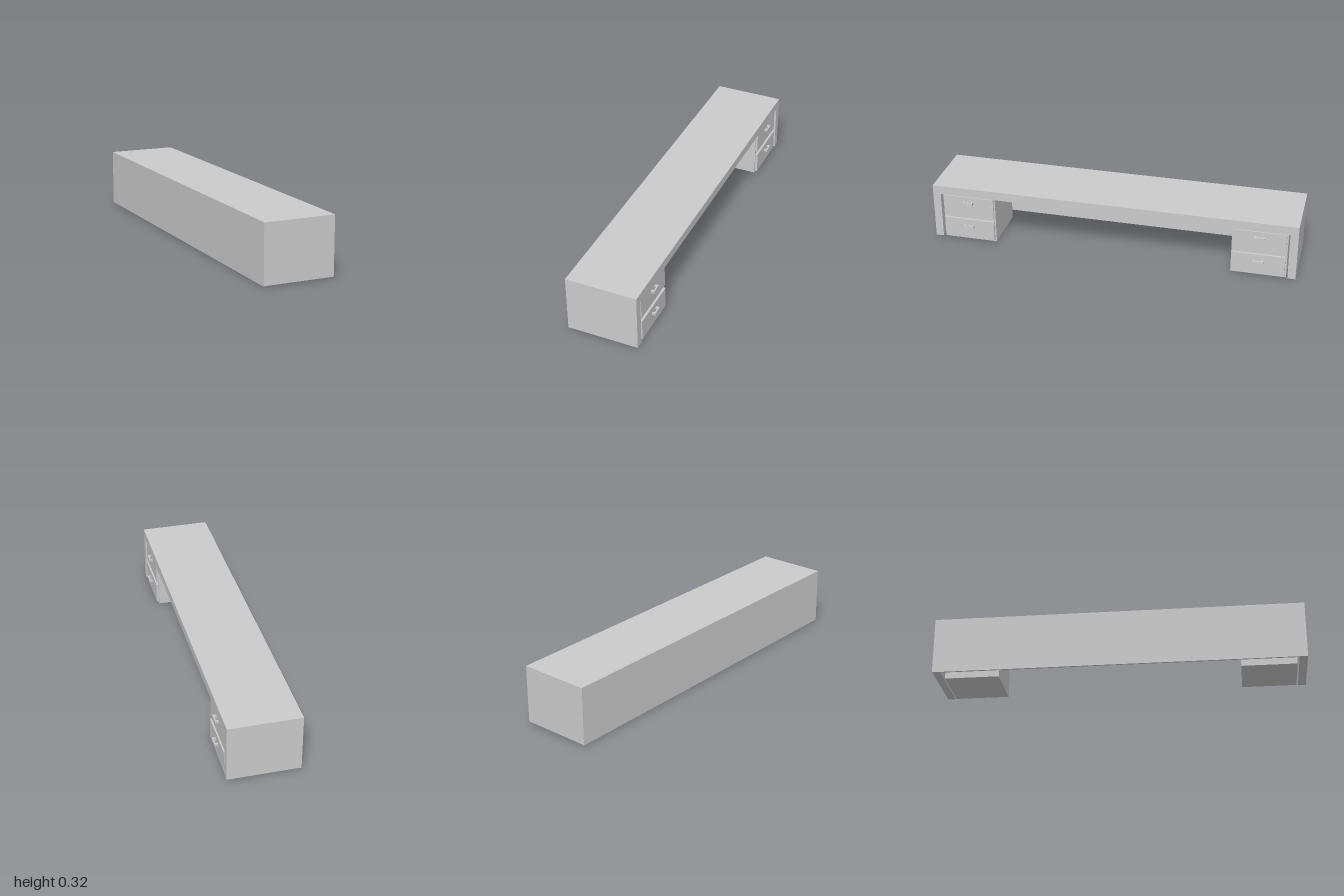
import * as THREE from 'three';

const grey = new THREE.MeshStandardMaterial({ color: 0xcccccc });

// Box given by its min and max along each axis
function box(parent, name, [x0, x1], [y0, y1], [z0, z1]) {
  const mesh = new THREE.Mesh(new THREE.BoxGeometry(x1 - x0, y1 - y0, z1 - z0), grey);
  mesh.position.set((x0 + x1) / 2, (y0 + y1) / 2, (z0 + z1) / 2);
  mesh.name = name;
  parent.add(mesh);
}

// U-shaped pull: a bar on two posts
function addHandle(parent, x, y, z) {
  const handle = new THREE.Group();
  handle.name = 'handle';
  const ys = [-0.007, 0.007];
  box(handle, 'handleBar', [0.012, 0.019], ys, [-0.027, 0.027]);
  for (const s of [-1, 1]) {
    box(handle, 'handlePost', [-0.002, 0.013], ys, [s * 0.0225 - 0.0045, s * 0.0225 + 0.0045]);
  }
  handle.position.set(x, y, z);
  parent.add(handle);
}

// Cabinet with two drawers, centred on z = 0
function makePedestal() {
  const pedestal = new THREE.Group();
  pedestal.name = 'pedestal';
  box(pedestal, 'cabinetBody', [-0.117, 0.168], [0, 0.27], [-0.148, 0.148]);
  box(pedestal, 'upperDrawer', [0.166, 0.178], [0.143, 0.261], [-0.14, 0.14]);
  box(pedestal, 'lowerDrawer', [0.166, 0.181], [0.01, 0.126], [-0.14, 0.14]);
  addHandle(pedestal, 0.178, 0.229, 0);
  addHandle(pedestal, 0.181, 0.087, 0);
  return pedestal;
}

export function createModel() {
  const desk = new THREE.Group();
  desk.name = 'desk';

  // Top, closed back and front rail
  box(desk, 'deskTop', [-0.19, 0.178], [0.27, 0.316], [-1, 1]);
  box(desk, 'backPanel', [-0.2, -0.19], [0.003, 0.316], [-1, 1]);
  box(desk, 'frontRail', [0.178, 0.183], [0.267, 0.316], [-1, 1]);

  // Ends with front stiles, and a drawer pedestal beside each
  for (const s of [-1, 1]) {
    const ends = [Math.min(s, s * 0.957), Math.max(s, s * 0.957)];
    box(desk, 'endPanel', [-0.19, 0.178], [0.005, 0.27], ends);
    box(desk, 'frontStile', [0.178, 0.183], [0.005, 0.267], ends);
    const pedestal = makePedestal();
    pedestal.position.z = s * 0.8;
    desk.add(pedestal);
  }
  return desk;
}
